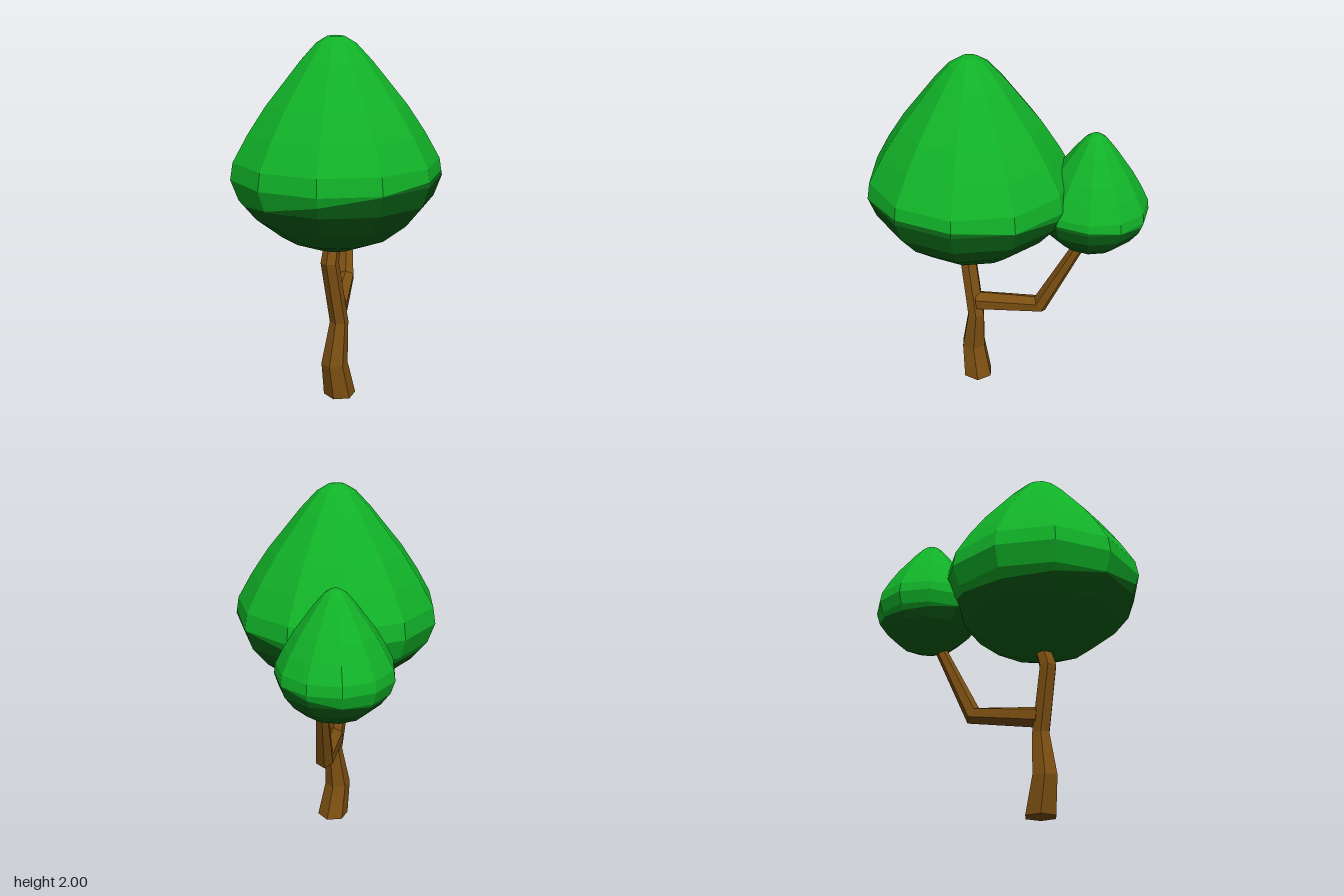
import * as THREE from 'three';

const SIDES = 11;
const TILT_X = 0.082, TILT_Z = 0.145, RIM = 0.56, RIM_Y = 1.215;

// Crown outline as (radius, height), bottom to top
const OUTLINE = [
  [0, 0.87], [0.12, 0.885], [0.295, 0.955], [0.43, 1.06], [0.52, 1.17], [0.56, 1.28],
  [0.545, 1.37], [0.465, 1.51], [0.37, 1.65], [0.19, 1.87], [0.105, 1.96], [0.045, 1.995], [0, 2.0],
];

function radiusAt(y) {
  for (let i = 1; i < OUTLINE.length; i++) {
    const [r0, y0] = OUTLINE[i - 1], [r1, y1] = OUTLINE[i];
    if (y <= y1) return r0 + (r1 - r0) * (y - y0) / (y1 - y0);
  }
  return 0;
}

// One half of a crown: vertices beyond the tilted dividing line are drawn back onto it
function crownShell(isUpper) {
  const points = OUTLINE.map(([r, y]) => new THREE.Vector2(r, y));
  const phase = THREE.MathUtils.degToRad(12.2);
  const geometry = new THREE.LatheGeometry(points, SIDES, phase);
  const pos = geometry.attributes.position;
  for (let i = 0; i < pos.count; i++) {
    const angle = phase + Math.floor(i / OUTLINE.length) * Math.PI * 2 / SIDES;
    const s = Math.sin(angle), c = Math.cos(angle);
    const cut = RIM_Y + RIM * (TILT_X * s + TILT_Z * c);
    const y = pos.getY(i);
    if (isUpper ? y < cut : y > cut) {
      const r = radiusAt(cut);
      pos.setXYZ(i, r * s, cut, r * c);
    }
  }
  geometry.translate(0, -0.87, 0);
  geometry.computeVertexNormals();
  return geometry;
}

// Six-sided bent limb through [x, y, z, radius] stations
function limb(stations, levelRings, turn) {
  const n = 6, vertices = [], index = [];
  const centres = stations.map(([x, y, z]) => new THREE.Vector3(x, y, z));
  const last = stations.length - 1;
  stations.forEach((station, j) => {
    const t = new THREE.Vector3(0, 1, 0);
    if (!levelRings) {
      t.set(0, 0, 0);
      if (j > 0) t.add(centres[j].clone().sub(centres[j - 1]).normalize());
      if (j < last) t.add(centres[j + 1].clone().sub(centres[j]).normalize());
      t.normalize();
    }
    const u = new THREE.Vector3(1, 0, 1).normalize();
    u.addScaledVector(t, -u.dot(t)).normalize();
    const v = t.clone().cross(u);
    for (let i = 0; i < n; i++) {
      const a = turn + i * Math.PI * 2 / n;
      const p = centres[j].clone()
        .addScaledVector(u, station[3] * Math.cos(a))
        .addScaledVector(v, station[3] * Math.sin(a));
      vertices.push(p.x, p.y, p.z);
    }
  });
  for (let j = 0; j < last; j++) {
    for (let i = 0; i < n; i++) {
      const a = j * n + i, b = j * n + (i + 1) % n;
      index.push(a, b, a + n, b, b + n, a + n);
    }
  }
  // End caps
  for (let i = 1; i < n - 1; i++) {
    index.push(0, i + 1, i, last * n, last * n + i, last * n + i + 1);
  }
  const geometry = new THREE.BufferGeometry();
  geometry.setAttribute('position', new THREE.Float32BufferAttribute(vertices, 3));
  geometry.setIndex(index);
  geometry.computeVertexNormals();
  return geometry;
}

export function createModel() {
  const material = (name, color) => {
    const m = new THREE.MeshStandardMaterial({ color, flatShading: true });
    m.name = name;
    return m;
  };
  const leaf = material('leaf green', 0x11b228);
  const shade = material('dark leaf green', 0x0a6416);
  const bark = material('bark brown', 0x7d5012);

  const tree = new THREE.Group();
  tree.name = 'tree';
  const add = (parent, name, geometry, mat) => {
    const mesh = new THREE.Mesh(geometry, mat);
    mesh.name = name;
    parent.add(mesh);
  };

  // Trunk and side branch
  add(tree, 'trunk', limb([
    [-0.068, 0, 0.11, 0.09], [-0.108, 0.2, 0.11, 0.074], [-0.075, 0.44, 0.112, 0.052],
    [-0.147, 0.8, 0.113, 0.05], [-0.105, 0.94, 0.1, 0.045],
  ], true, -0.9), bark);
  add(tree, 'branch', limb([
    [-0.07, 0.53, 0.1, 0.058], [0.215, 0.575, -0.13, 0.053], [0.365, 1.0, -0.275, 0.032],
  ], false, Math.PI / 6), bark);

  // Large crown on the trunk, small crown on the branch
  const upper = crownShell(true), lower = crownShell(false);
  const crowns = [
    ['largeCrown', [-0.1, 0.87, 0.11], [1, 1, 1]],
    ['smallCrown', [0.347, 0.94, -0.36], [0.54, 0.602, 0.54]],
  ];
  for (const [name, position, scale] of crowns) {
    const crown = new THREE.Group();
    crown.name = name;
    add(crown, name + 'Top', upper, leaf);
    add(crown, name + 'Underside', lower, shade);
    crown.position.set(...position);
    crown.scale.set(...scale);
    tree.add(crown);
  }
  return tree;
}
